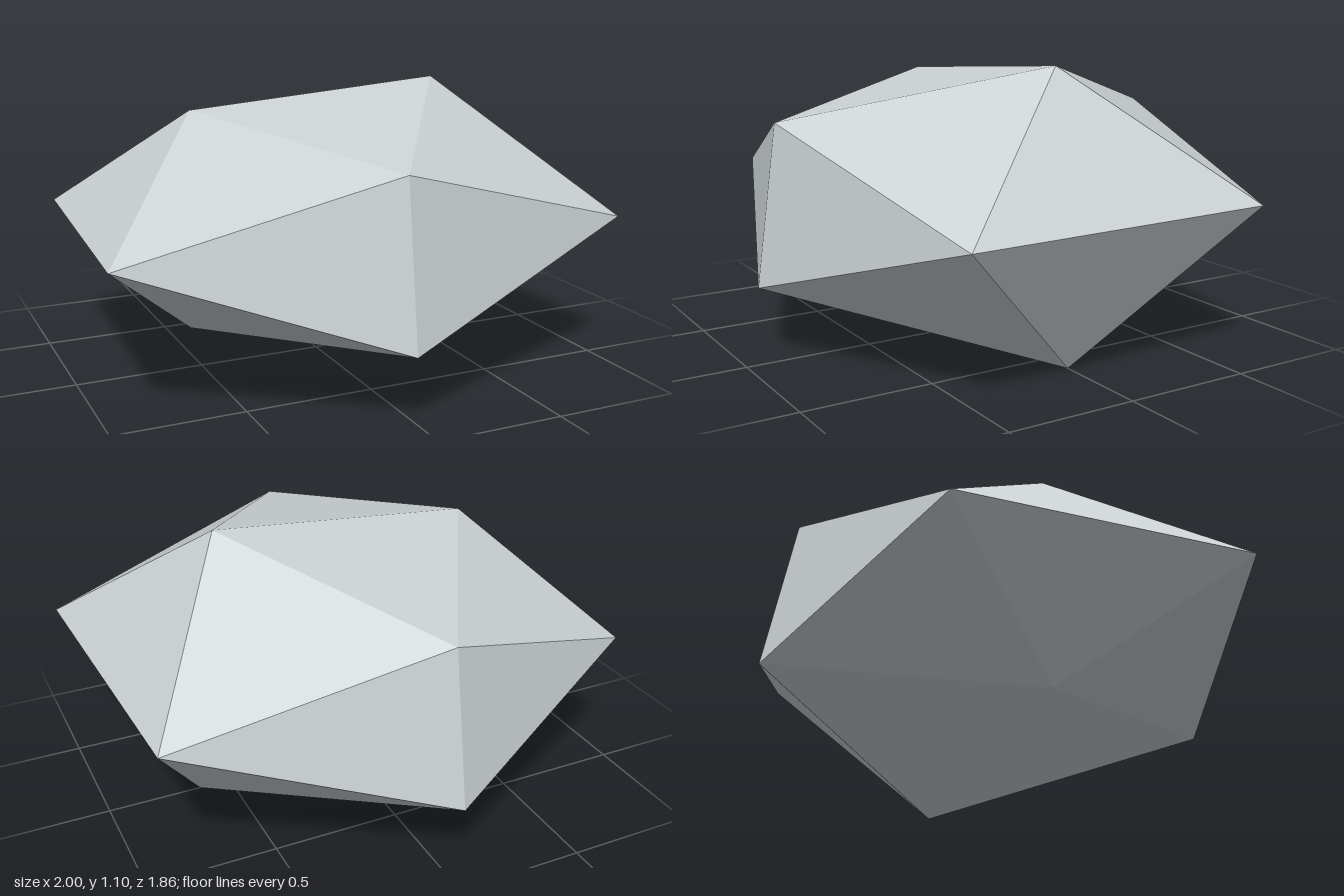
import * as THREE from 'three';

// Icosahedron corners, keyed by the signs of their direction, moved to a squat uneven boulder
const corners = {
  '-1,1,0': [-0.52, 1.02, -0.01], '1,1,0': [0.518, 1.1, -0.005],    // top ridge
  '-1,-1,0': [-0.54, 0.162, 0], '1,-1,0': [0.627, 0, 0],            // underside ridge
  '0,-1,1': [-0.045, 0.28, 0.927], '0,1,1': [-0.045, 0.89, 0.842],  // front edge
  '0,-1,-1': [-0.045, 0.285, -0.93], '0,1,-1': [-0.045, 0.88, -0.825], // back edge
  '1,0,-1': [0.952, 0.6, -0.624], '1,0,1': [1, 0.6, 0.637],         // left waist
  '-1,0,-1': [-0.937, 0.6, -0.56], '-1,0,1': [-1, 0.6, 0.582],      // right waist
};

export function createModel() {
  const group = new THREE.Group();
  group.name = 'boulder';

  const stone = new THREE.MeshStandardMaterial({ color: 0xcbd1d3 });
  stone.name = 'pale stone grey';

  // Pull every icosahedron vertex to its boulder corner
  const geometry = new THREE.IcosahedronGeometry(1, 0);
  const position = geometry.attributes.position;
  const sign = (v) => (Math.abs(v) < 0.1 ? 0 : Math.sign(v));
  for (let i = 0; i < position.count; i++) {
    const key = [position.getX(i), position.getY(i), position.getZ(i)].map(sign).join(',');
    position.setXYZ(i, ...corners[key]);
  }
  geometry.computeVertexNormals(); // unshared vertices keep the facets flat

  const rock = new THREE.Mesh(geometry, stone);
  rock.name = 'rock';
  group.add(rock);
  return group;
}
